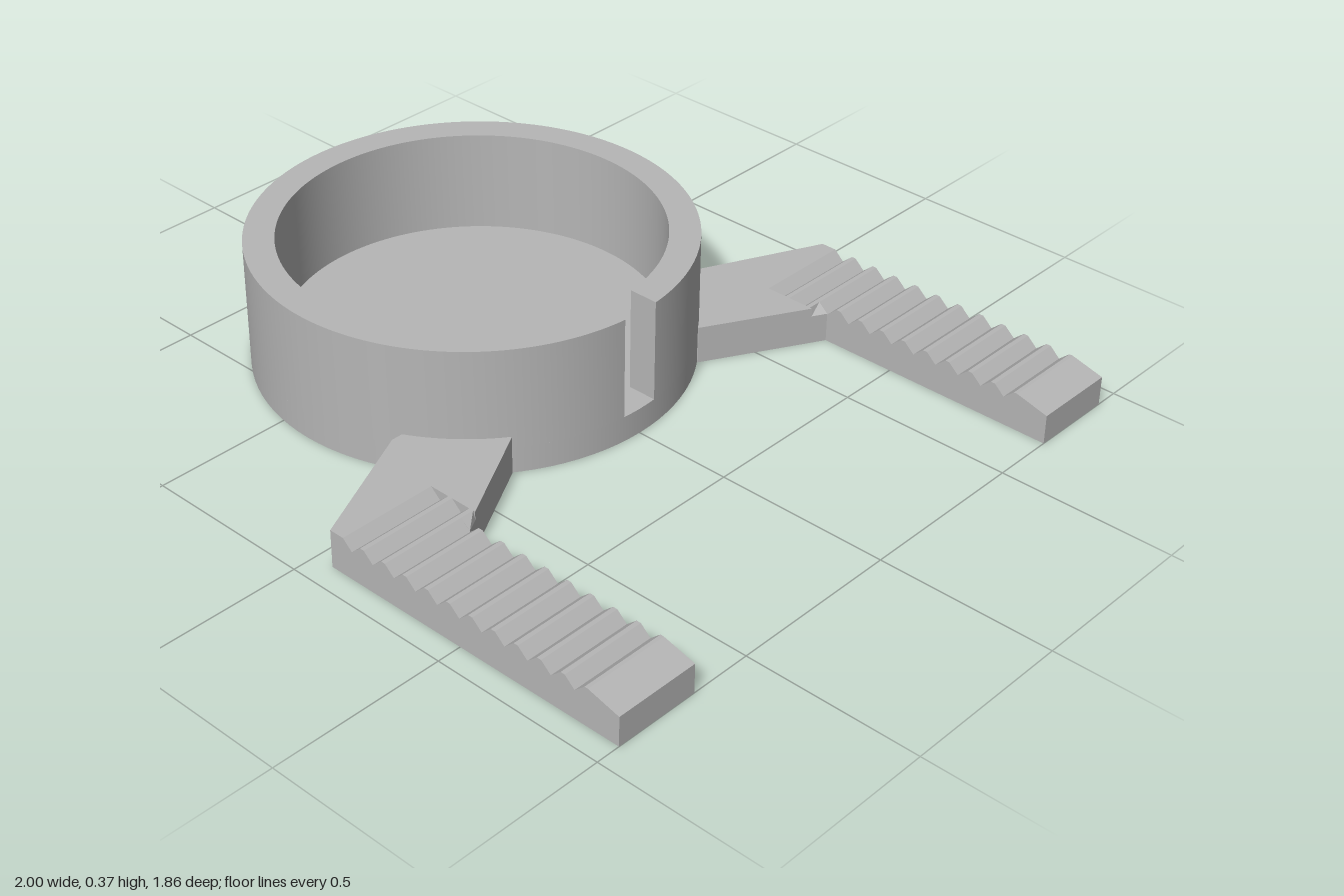
import * as THREE from 'three';
import { toCreasedNormals } from 'three/addons/utils/BufferGeometryUtils.js';

const grey = new THREE.MeshStandardMaterial({ color: 0xb6b6b6 });
grey.name = 'plain grey';

const CUP_X = -0.395, OUTER = 0.607, INNER = 0.522, FLOOR = 0.075, RIM = 0.37;
const ARM_TOP = 0.11, PITCH = 0.073, TEETH_X = 0.105, SLIT_DEPTH = 0.02;

function addPart(parent, name, geometry) {
  const mesh = new THREE.Mesh(geometry, grey);
  mesh.name = name;
  parent.add(mesh);
  return mesh;
}

// Extrude an (x, z) outline upward from y0 to y1
function plate(shape, y0, y1) {
  const g = new THREE.ExtrudeGeometry(shape, { depth: y1 - y0, bevelEnabled: false, curveSegments: 96 });
  return g.rotateX(-Math.PI / 2).translate(0, y0, 0);
}
const outline = (points, s) => points.map(([x, z]) => new THREE.Vector2(x, -s * z));

// Extrude an (x, y) side profile between two distances from the centre line
function sideExtrude(points, z0, z1, s) {
  const shape = new THREE.Shape(points.map(([x, y]) => new THREE.Vector2(x, y)));
  const g = new THREE.ExtrudeGeometry(shape, { depth: z1 - z0, bevelEnabled: false });
  return g.translate(0, 0, s > 0 ? z0 : -z1);
}

// Top edge with V grooves, each followed by a narrow flat
function grooves(count) {
  const pts = [];
  for (let i = 0; i < count; i++) {
    const x = TEETH_X + i * PITCH;
    pts.push([x, ARM_TOP], [x + 0.03, 0.083], [x + 0.06, ARM_TOP]);
  }
  return pts;
}

function createCup() {
  const cup = new THREE.Group();
  cup.name = 'cup';
  cup.position.x = CUP_X;
  const base = addPart(cup, 'cupBase', new THREE.CylinderGeometry(OUTER, OUTER, FLOOR, 96));
  base.position.y = FLOOR / 2;
  // Wall with a vertical slot on the +x side
  const a = Math.asin(0.057 / OUTER), b = Math.asin(0.057 / INNER);
  const ring = new THREE.Shape();
  ring.absarc(0, 0, OUTER, a, Math.PI * 2 - a, false);
  ring.absarc(0, 0, INNER, Math.PI * 2 - b, b, true);
  ring.closePath();
  addPart(cup, 'cupWall', toCreasedNormals(plate(ring, FLOOR, RIM), 0.5));
  return cup;
}

function createArm(s) {
  const arm = new THREE.Group();
  arm.name = s > 0 ? 'frontArm' : 'backArm';

  // Slanted bracket that reaches just inside the cup
  const bracket = [[-0.11, 0.355], [0.10, 0.355], [0.258, 0.64], [TEETH_X, 0.64],
    [TEETH_X, 0.93], [0.06, 0.93], [-0.11, 0.57]];
  addPart(arm, 'bracket', plate(new THREE.Shape(outline(bracket, s)), 0, ARM_TOP));

  // Toothed rail with a sloping tip
  const rail = [[TEETH_X, SLIT_DEPTH], ...grooves(11), [0.905, ARM_TOP], [1, 0.085], [1, SLIT_DEPTH]];
  addPart(arm, 'toothedRail', sideExtrude(rail, 0.68, 0.93, s));

  // Inner ends of the first grooves, trimmed along the slanted bracket edge
  const inner = [[TEETH_X, 0], ...grooves(2), [0.251, ARM_TOP], [0.28, 0.085], [0.28, 0]];
  const g = sideExtrude(inner, 0.64, 0.68, s);
  const p = g.attributes.position;
  for (let i = 0; i < p.count; i++) {
    const edge = 0.258 + (Math.abs(p.getZ(i)) - 0.64) * 0.55;
    p.setX(i, Math.min(p.getX(i), edge));
  }
  g.computeVertexNormals();
  addPart(arm, 'grooveEnds', g);

  // Rail underside with a row of narrow slits
  const sole = new THREE.Shape(outline([[TEETH_X, 0.68], [1, 0.68], [1, 0.93], [TEETH_X, 0.93]], s));
  for (let i = 0; i < 9; i++) {
    const x = 0.27 + i * PITCH;
    const slit = [[x, 0.73], [x + 0.018, 0.73], [x + 0.018, 0.88], [x, 0.88]];
    sole.holes.push(new THREE.Path(outline(slit, s)));
  }
  addPart(arm, 'slottedSole', plate(sole, 0, SLIT_DEPTH));
  return arm;
}

export function createModel() {
  const model = new THREE.Group();
  model.name = 'cupHolder';
  model.add(createCup(), createArm(1), createArm(-1));
  return model;
}
